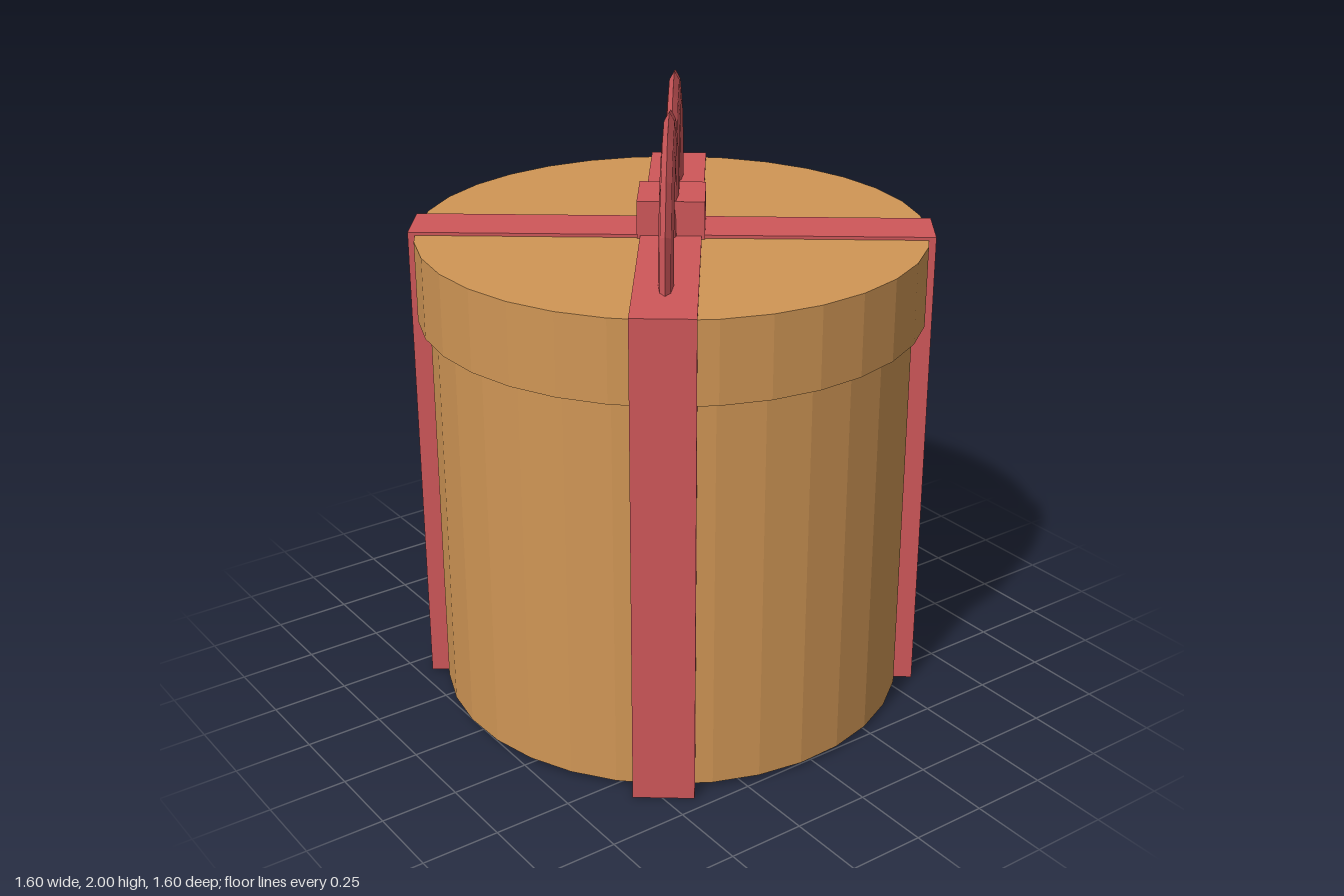
import * as THREE from 'three';

export function createModel() {
  const model = new THREE.Group();
  model.name = 'giftBox';
  const card = new THREE.MeshStandardMaterial({ color: 0xd09655, flatShading: true });
  card.name = 'tan card';
  const red = new THREE.MeshStandardMaterial({ color: 0xcf575a, flatShading: true });
  red.name = 'red ribbon';

  const add = (name, geometry, material, x, y, z) => {
    const mesh = new THREE.Mesh(geometry, material);
    mesh.name = name;
    mesh.position.set(x, y, z);
    model.add(mesh);
    return mesh;
  };

  // Round box and its wider lid
  const drum = (name, radius, bottom, top) =>
    add(name, new THREE.CylinderGeometry(radius, radius, top - bottom, 32), card, 0, (bottom + top) / 2, 0);
  drum('body', 0.765, 0.015, 1.31);
  drum('lid', 0.803, 1.3, 1.56);

  // Two crossing ribbons wrapped right round the box
  const top = 1.57;
  add('ribbonLong', new THREE.BoxGeometry(1.632, top, 0.19), red, 0, top / 2, 0);
  add('ribbonCross', new THREE.BoxGeometry(0.19, top, 1.632), red, 0, top / 2, 0);

  // Knot
  add('knot', new THREE.BoxGeometry(0.21, 0.13, 0.21), red, 0, 1.615, 0);

  // Bow: two overlapping flattened loops
  for (const side of [-1, 1]) {
    const loop = add(side < 0 ? 'bowLoopRight' : 'bowLoopLeft',
      new THREE.TorusGeometry(0.3, 0.09, 8, 8, Math.PI), red, side * 0.25, top, 0);
    loop.scale.set(1, 1.103, 0.25);
  }

  model.rotation.y = THREE.MathUtils.degToRad(52.5);
  const root = new THREE.Group();
  root.name = 'gift';
  root.add(model);
  return root;
}
